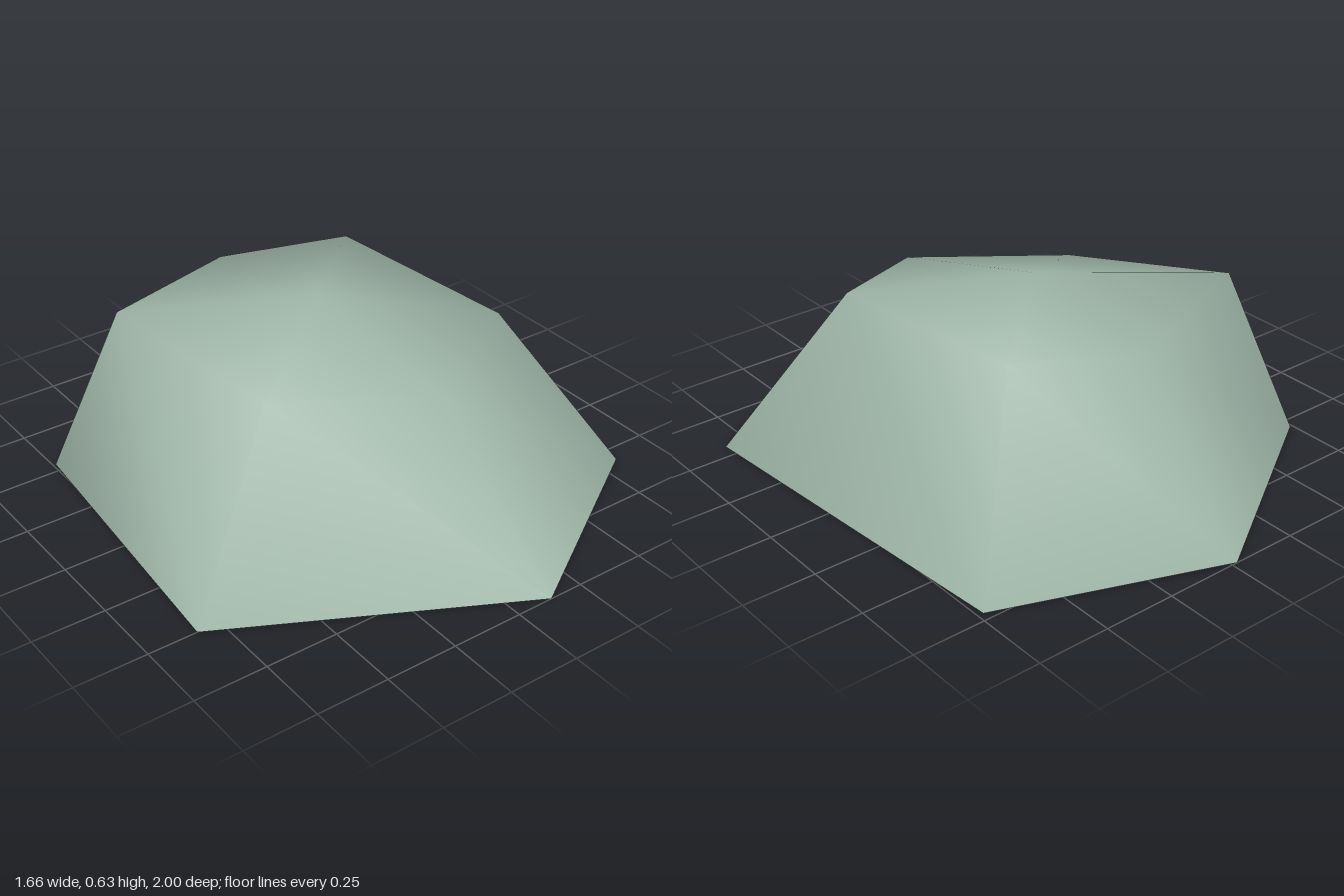
import * as THREE from 'three';

export function createModel() {
  const group = new THREE.Group();
  group.name = 'boulder';
  const stone = new THREE.MeshStandardMaterial({ color: 0x9db3a6, side: THREE.DoubleSide });
  stone.name = 'grey green stone';

  // Irregular six-sided foot, upper rim and peak
  const foot = [[-0.02, 0, -1], [0.73, 0, -0.72], [0.83, 0, 0.56], [0.13, 0, 1], [-0.83, 0, 0.5], [-0.74, 0, -0.54]];
  const rim = [[-0.01, 0.55, -0.6], [0.4, 0.583, -0.42], [0.485, 0.567, 0.3], [0.09, 0.5, 0.52], [-0.37, 0.49, 0.2], [-0.54, 0.59, -0.4]];
  const peak = [0.01, 0.63, -0.06];

  // Sloping sides and a low fan on top, open underneath
  const n = foot.length;
  const index = [];
  for (let i = 0; i < n; i++) {
    const j = (i + 1) % n;
    index.push(i, n + j, j, i, n + i, n + j, 2 * n, n + j, n + i);
  }
  const geometry = new THREE.BufferGeometry();
  geometry.setAttribute('position', new THREE.Float32BufferAttribute([...foot, ...rim, peak].flat(), 3));
  geometry.setIndex(index);
  geometry.computeVertexNormals();

  const rock = new THREE.Mesh(geometry, stone);
  rock.name = 'rock';
  group.add(rock);
  return group;
}
